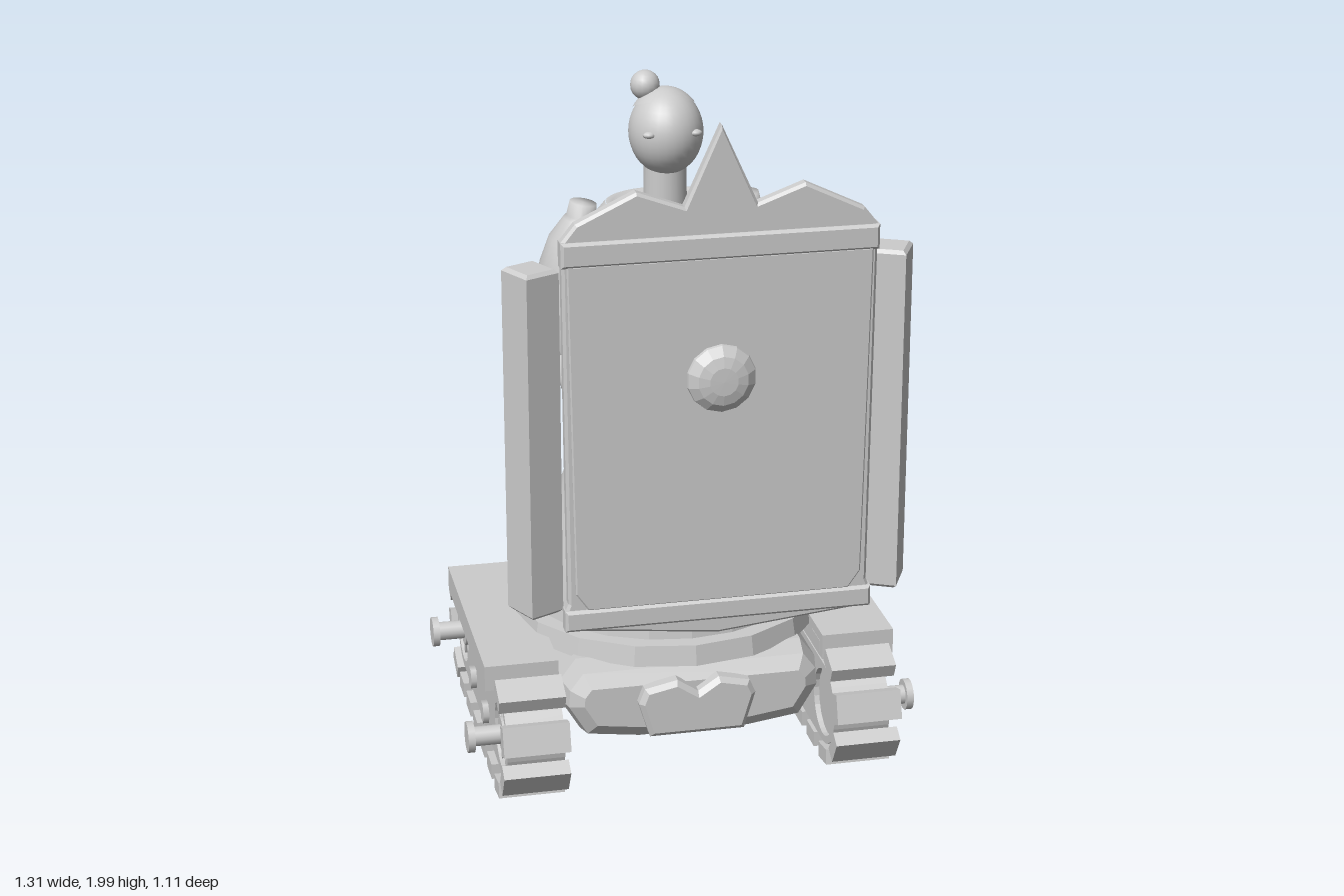
import * as THREE from 'three';

const grey = new THREE.MeshStandardMaterial({ color: 0xcccccc });
grey.name = 'stone grey';

function add(parent, name, geo, pos = [0, 0, 0], rot = [0, 0, 0], scale = [1, 1, 1]) {
  const m = new THREE.Mesh(geo, grey);
  m.name = name;
  m.position.set(...pos);
  m.rotation.set(...rot);
  m.scale.set(...scale);
  parent.add(m);
  return m;
}
const V = (pts) => pts.map(([x, y]) => new THREE.Vector2(x, y));
const box = (w, h, d) => new THREE.BoxGeometry(w, h, d);
const cyl = (a, b, h, n = 16) => new THREE.CylinderGeometry(a, b, h, n);
const lathe = (pts, n = 32) => new THREE.LatheGeometry(V(pts), n);
const flat = (g) => { const f = g.toNonIndexed(); f.computeVertexNormals(); return f; };

// extrusion along z with a single-step bevel that stays inside the total depth
function slab(shape, depth, bevel) {
  const g = new THREE.ExtrudeGeometry(shape, {
    depth: depth - 2 * bevel, bevelEnabled: bevel > 0, bevelThickness: bevel,
    bevelSize: bevel, bevelOffset: -bevel, bevelSegments: 1, curveSegments: 12,
  });
  return g.translate(0, 0, bevel);
}
const poly = (pts) => new THREE.Shape(V(pts));

// rod between two points
function rod(parent, name, a, b, r0, r1) {
  const A = new THREE.Vector3(...a), B = new THREE.Vector3(...b);
  const d = B.clone().sub(A);
  const m = add(parent, name, cyl(r1, r0, d.length()), A.clone().add(B).multiplyScalar(0.5).toArray());
  m.quaternion.setFromUnitVectors(new THREE.Vector3(0, 1, 0), d.normalize());
}

const WY = 0.187, WZ = 0.36; // wheel centre height and spacing
function makeTrack(s) {
  const g = new THREE.Group();
  g.name = s > 0 ? 'leftTrack' : 'rightTrack';
  g.position.z = -0.007;
  // side body with open wheel wells
  const sh = new THREE.Shape();
  sh.absarc(WZ, 0, 0.122, -Math.PI / 2, Math.PI / 2, false);
  sh.absarc(-WZ, 0, 0.122, Math.PI / 2, Math.PI * 1.5, false);
  for (const z of [-WZ, WZ]) {
    const h = new THREE.Path();
    h.absarc(z, 0, 0.1, 0, Math.PI * 2, true);
    sh.holes.push(h);
  }
  add(g, 'trackBody', slab(sh, 0.165, 0), [s * 0.475 - 0.0825, WY, 0], [0, -Math.PI / 2, 0]).position.x += 0.165;
  add(g, 'fender', box(0.212, 0.075, 0.72), [s * 0.493, 0.363, 0]);
  // wheels and axles
  for (const z of [-WZ, WZ]) {
    add(g, 'wheelDisc', cyl(0.1, 0.1, 0.11), [s * 0.463, WY, z], [0, 0, Math.PI / 2]);
    add(g, 'wheelHub', cyl(0.05, 0.05, 0.04), [s * 0.537, WY, z], [0, 0, Math.PI / 2]);
    add(g, 'axle', cyl(0.028, 0.028, 0.11), [s * 0.59, WY, z], [0, 0, Math.PI / 2]);
    add(g, 'axleCap', cyl(0.045, 0.045, 0.02), [s * 0.645, WY, z], [0, 0, Math.PI / 2]);
    for (let i = 0; i < 4; i++)
      add(g, 'spoke', box(0.03, 0.2, 0.016), [s * 0.535, WY, z], [Math.PI / 8 + i * Math.PI / 4, 0, 0]);
  }
  for (const z of [-0.118, 0.118])
    add(g, 'roadBolt', cyl(0.034, 0.034, 0.03, 6), [s * 0.56, 0.14, z], [0, 0, Math.PI / 2]);
  // pads spaced evenly around the loop
  const R = 0.158, L = 2 * WZ, arc = Math.PI * R, total = 2 * (L + arc), n = 18;
  for (let i = 0; i < n; i++) {
    let d = (L / 2 - 0.02 + (i * total) / n) % total;
    let z, y, a;
    if (d < L) { z = -WZ + d; y = -R; a = 0; }
    else if ((d -= L) < arc) { a = d / R; z = WZ + R * Math.sin(a); y = -R * Math.cos(a); }
    else if ((d -= arc) < L) { z = WZ - d; y = R; a = Math.PI; }
    else { a = Math.PI + (d - L) / R; z = -WZ + R * Math.sin(a); y = -R * Math.cos(a); }
    add(g, 'trackPad', box(0.19, 0.046, 0.085), [s * 0.481, WY + y + 0.004, z], [-a, 0, 0]);
  }
  return g;
}

function makeBase() {
  const g = new THREE.Group();
  g.name = 'base';
  // hull with chamfered ends
  const hull = poly([[-0.32, 0.16], [-0.16, 0.138], [0.16, 0.138], [0.32, 0.16], [0.38, 0.26],
    [0.375, 0.32], [0.33, 0.38], [-0.33, 0.38], [-0.375, 0.32], [-0.38, 0.26]]);
  add(g, 'hull', new THREE.ExtrudeGeometry(hull, {
    depth: 0.645, bevelThickness: 0.1, bevelSize: 0.055, bevelOffset: -0.055, bevelSegments: 2,
  }), [0, 0, -0.335]);
  // front badge plate
  const badge = [[-0.14, 0.175], [0.135, 0.175], [0.168, 0.285], [0.15, 0.325], [0.06, 0.345],
    [0, 0.305], [-0.06, 0.345], [-0.155, 0.325], [-0.172, 0.28]];
  add(g, 'badge', slab(poly(badge), 0.06, 0.014), [0, 0, 0.39]);
  // turntable steps
  add(g, 'turntable', flat(cyl(0.445, 0.455, 0.06, 16)), [0, 0.402, 0], [0, 0, 0], [1, 1, 0.91]);
  add(g, 'turntableStep', flat(cyl(0.39, 0.398, 0.055, 20)), [0, 0.456, -0.005], [0, 0, 0], [1, 1, 0.91]);
  for (const s of [1, -1]) g.add(makeTrack(s));
  return g;
}

function makeFigure() {
  const g = new THREE.Group();
  g.name = 'figure';
  add(g, 'skirt', lathe([[0.387, 0.47], [0.37, 0.6], [0.315, 0.77], [0.265, 0.9], [0.235, 1.0]]),
    [0, 0, -0.005], [0, 0, 0], [1, 1, 0.9]);
  add(g, 'belt', cyl(0.27, 0.272, 0.07, 28), [0, 1.028, 0], [0, 0, 0], [1, 1, 0.8]);
  add(g, 'torso', lathe([[0.24, 1.04], [0.242, 1.25], [0.252, 1.4], [0.25, 1.5], [0.222, 1.57], [0.172, 1.63]]),
    [0, 0, -0.003], [0, 0, 0], [1, 1, 0.8]);
  add(g, 'collar', lathe([[0.17, 1.63], [0.15, 1.632], [0.14, 1.62], [0, 1.625]]),
    [0, 0, -0.003], [0, 0, 0], [1, 1, 0.82]);
  add(g, 'apronPlate', box(0.26, 0.37, 0.026), [0, 0.8, 0.265]);
  // head
  add(g, 'neck', cyl(0.06, 0.062, 0.13, 20), [0, 1.68, -0.007]);
  add(g, 'head', new THREE.SphereGeometry(1, 28, 20), [0, 1.832, 0.003], [0, 0, 0], [0.105, 0.122, 0.114]);
  add(g, 'hairCap', new THREE.SphereGeometry(1, 28, 8, 0, Math.PI * 2, 0, 0.95),
    [0, 1.832, 0], [-0.35, 0, 0], [0.108, 0.125, 0.117]);
  add(g, 'hairBun', new THREE.SphereGeometry(0.042, 16, 12), [-0.052, 1.958, -0.032]);
  for (const s of [1, -1]) {
    add(g, 'eye', new THREE.SphereGeometry(0.014, 10, 8), [s * 0.066, 1.845, 0.09], [0, 0, 0], [1.3, 0.7, 1]);
    // puffed sleeves with a narrow shoulder stub
    const sleeve = [[0, 0], [0.085, 0], [0.098, 0.03], [0.1, 0.12], [0.098, 0.25], [0.082, 0.33],
      [0.05, 0.39], [0.042, 0.4], [0.038, 0.44], [0, 0.44]];
    add(g, 'sleeve', lathe(sleeve, 20), [s * 0.3, 1.2, -0.012], [0, 0, s * 0.15], [1, 1, 1.22]);
    add(g, 'cuff', cyl(0.08, 0.078, 0.06, 14), [s * 0.3, 1.205, 0.025], [-0.12, 0, 0]);
  }
  // forearms reaching for the shield
  const arms = [[[0.31, 1.185, 0.02], [0.13, 1.19, 0.39]], [[-0.295, 1.2, 0.04], [-0.275, 1.11, 0.36]]];
  for (const [a, b] of arms) {
    rod(g, 'forearm', a, b, 0.05, 0.05);
    add(g, 'hand', new THREE.SphereGeometry(0.057, 14, 10), b);
  }
  return g;
}

function makeShield() {
  const g = new THREE.Group();
  g.name = 'shield';
  g.position.x = 0.042;
  // outline mirrored from its right half, bottom tip to crest peak
  const half = [[0.433, 0.56], [0.433, 0.62], [0.425, 0.64], [0.433, 1.68], [0.395, 1.727], [0.23, 1.805], [0.1, 1.757]];
  const outline = [[0, 0.515], ...half, [0, 1.975], ...half.map(([x, y]) => [-x, y]).reverse()];
  add(g, 'shieldPlate', slab(poly(outline), 0.042, 0.008), [0, 0, 0.466]);
  const panel = [[-0.37, 0.62], [0.37, 0.62], [0.405, 0.67], [0.42, 1.615], [-0.42, 1.615], [-0.405, 0.67]];
  add(g, 'shieldPanel', slab(poly(panel), 0.02, 0.004), [0, 0, 0.494]);
  add(g, 'upperBar', slab(poly([[-0.436, 1.61], [0.436, 1.61], [0.436, 1.68], [-0.436, 1.68]]), 0.055, 0.008), [0, 0, 0.464]);
  add(g, 'lowerBar', slab(poly([[-0.436, 0.56], [0.436, 0.56], [0.436, 0.622], [-0.436, 0.622]]), 0.055, 0.008), [0, 0, 0.464]);
  // central boss
  add(g, 'boss', flat(lathe([[0.098, 0], [0.095, 0.015], [0.07, 0.036], [0.04, 0.044], [0, 0.045]], 14)),
    [0, 1.275, 0.508], [Math.PI / 2, 0, 0]);
  // angled side wings
  const w = 0.053, d = 0.115;
  for (const s of [1, -1])
    add(g, s > 0 ? 'leftWing' : 'rightWing',
      slab(poly([[-w, -d / 2], [w, -d / 2], [w, d / 2], [-w, d / 2]]), 1.0, 0.01).rotateX(-Math.PI / 2),
      [s * 0.5, 0.585, 0.403], [0, -s * 0.46, 0]);
  return g;
}

export function createModel() {
  const model = new THREE.Group();
  model.name = 'trackedShieldBearer';
  model.add(makeBase(), makeFigure(), makeShield());
  return model;
}
